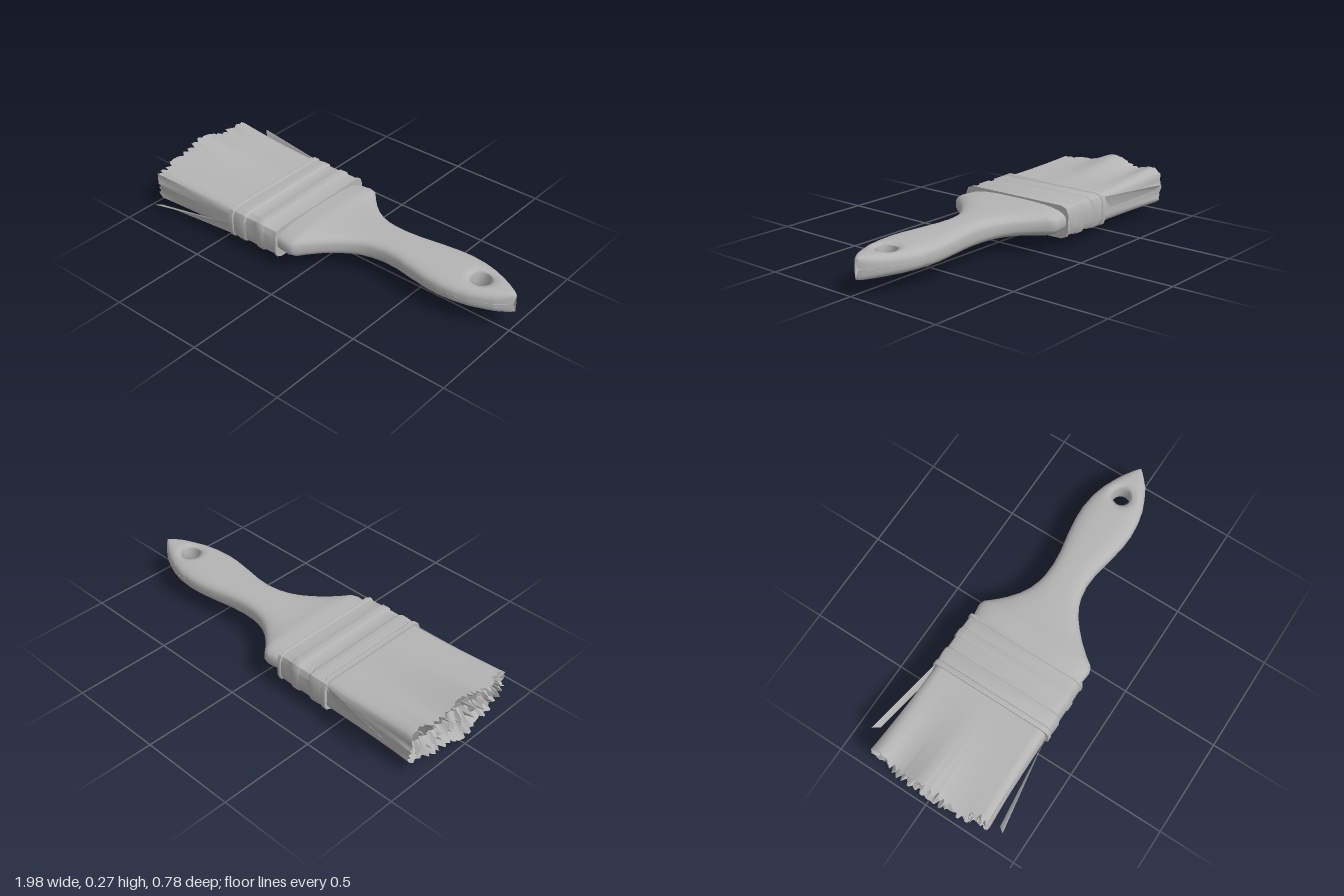
import * as THREE from 'three';
import { toCreasedNormals } from 'three/addons/utils/BufferGeometryUtils.js';

const MID = 0.13; // height of the brush's middle plane

// Handle outline: x, back z, front z, half thickness
const OUTLINE = [
  [-0.14, -0.312, 0.312, 0.068], [-0.06, -0.324, 0.32, 0.072], [-0.03, -0.315, 0.31, 0.071],
  [0, -0.28, 0.27, 0.067], [0.05, -0.23, 0.212, 0.063], [0.1, -0.19, 0.165, 0.061],
  [0.15, -0.162, 0.125, 0.06], [0.2, -0.145, 0.096, 0.06], [0.25, -0.136, 0.078, 0.06],
  [0.32, -0.134, 0.067, 0.06], [0.4, -0.142, 0.071, 0.06], [0.5, -0.162, 0.09, 0.059],
  [0.6, -0.177, 0.106, 0.059], [0.67, -0.18, 0.109, 0.059], [0.75, -0.172, 0.102, 0.058],
  [0.82, -0.153, 0.085, 0.058], [0.88, -0.127, 0.06, 0.057], [0.93, -0.1, 0.034, 0.056],
  [0.97, -0.072, 0, 0.054], [0.99, -0.054, -0.02, 0.05], [1, -0.042, -0.034, 0.046],
];

function outlineAt(x) {
  let i = 1;
  while (i < OUTLINE.length - 1 && OUTLINE[i][0] < x) i++;
  const a = OUTLINE[i - 1], b = OUTLINE[i];
  const t = THREE.MathUtils.clamp((x - a[0]) / (b[0] - a[0]), 0, 1);
  const [, back, front, h] = a.map((v, k) => v + (b[k] - v) * t);
  return { back, front, h, c: (back + front) / 2, w: (front - back) / 2 };
}

// Skin a list of closed rings of [x, y, z] points
function skin(rings) {
  const n = rings[0].length, index = [];
  for (let i = 0; i < rings.length - 1; i++) {
    for (let k = 0; k < n; k++) {
      const a = i * n + k, c = i * n + (k + 1) % n;
      index.push(a, a + n, c, c, a + n, c + n);
    }
  }
  const g = new THREE.BufferGeometry();
  g.setAttribute('position', new THREE.Float32BufferAttribute(rings.flat(2), 3));
  g.setIndex(index);
  g.computeVertexNormals();
  return g;
}

// Rounded rectangle as [z, y] points
function section(w, h, r) {
  const pts = [];
  for (let q = 0; q < 4; q++) {
    const sz = q === 0 || q === 3 ? 1 : -1, sy = q < 2 ? 1 : -1;
    for (let j = 0; j < 3; j++) {
      const a = (q + j / 2) * Math.PI / 2;
      pts.push([sz * (w - r) + r * Math.cos(a), sy * (h - r) + r * Math.sin(a)]);
    }
  }
  return pts;
}

function seeded(seed) {
  return () => (seed = (seed * 16807) % 2147483647) / 2147483647;
}

// Superellipse loft from the shoulder to just before the hole
function handleBody() {
  const xs = [...OUTLINE.map(o => o[0]).filter(x => x < 0.7), -0.1, -0.045, -0.015, 0.025, 0.715];
  const pw = (v, e) => Math.sign(v) * Math.abs(v) ** e;
  return skin(xs.sort((a, b) => a - b).map(x => {
    const o = outlineAt(x);
    return Array.from({ length: 40 }, (_, k) => {
      const a = k / 40 * Math.PI * 2;
      return [x, MID + o.h * pw(Math.sin(a), 2 / 3), o.c + o.w * pw(Math.cos(a), 2 / 3)];
    });
  }));
}

// Grip end: rings running from the outline in to the hole, over the top and back below
function handleEnd() {
  const cx = 0.81, cz = -0.037, r = 0.046, N = 96, M = 12;
  const inside = (x, z) => {
    const o = outlineAt(x);
    return x > 0.7 && x < 1 && z > o.back && z < o.front;
  };
  const reach = Array.from({ length: N }, (_, k) => {
    const a = k / N * Math.PI * 2;
    let lo = 0, hi = 0.4;
    for (let i = 0; i < 24; i++) {
      const m = (lo + hi) / 2;
      if (inside(cx + m * Math.cos(a), cz + m * Math.sin(a))) lo = m; else hi = m;
    }
    return lo;
  });
  const ring = (t, side) => reach.map((R, k) => {
    const a = k / N * Math.PI * 2, d = R + (r - R) * t * t;
    const x = cx + d * Math.cos(a), z = cz + d * Math.sin(a), o = outlineAt(x);
    const u = Math.min(1, Math.abs(z - o.c) / o.w);
    const lip = 1 - 0.25 * Math.exp(-(((d - r) / 0.02) ** 2));
    return [x, MID + side * o.h * lip * Math.cbrt(1 - u ** 3), z];
  });
  const rings = [];
  for (let i = 0; i <= M; i++) rings.push(ring(i / M, 1));
  for (let i = M; i >= 0; i--) rings.push(ring(i / M, -1));
  return skin(rings);
}

// Metal band with rolled edges and shallow grooves: x, growth
function ferrule() {
  const profile = [[-0.44, -0.03], [-0.44, 0.005], [-0.415, 0.005], [-0.41, 0], [-0.37, 0.003], [-0.34, 0.003],
    [-0.33, -0.003], [-0.27, -0.003], [-0.26, 0.002], [-0.22, 0.002], [-0.21, -0.003],
    [-0.15, -0.004], [-0.145, 0.001], [-0.13, 0.001], [-0.13, -0.03]];
  return toCreasedNormals(skin(profile.map(([x, d]) =>
    section(0.325 + d, 0.082 + d, 0.042).map(([z, y]) => [x, 0.125 + y, z]))), 0.6);
}

// Bristle block with flared faces and a ragged, hollowed tip
function bristles() {
  const rand = seeded(77), N = 132;
  const pts = section(0.315, 0.076, 0.035).map(p => new THREE.Vector2(...p));
  const loop = new THREE.Shape([...pts, pts[0].clone()]).getSpacedPoints(N).slice(0, N);
  const bump = (z, c, s) => Math.exp(-(((z - c) / s) ** 2));
  const hair = loop.map(({ x: z, y }, k) => ({
    z, y,
    length: 0.55 - (Math.abs(z) > 0.22 ? 0.025 : 0) - (k % 3 === 0 ? 0.035 : 0.018) * rand(),
    lift: y > 0.05 ? 0.052 * bump(z, -0.02, 0.1) + 0.028 * bump(z, -0.26, 0.06) + 0.005
      : y < -0.05 ? -0.047 * bump(z, 0.02, 0.07) : 0,
    spread: 1.02 + 0.04 * rand(),
  }));
  const row = t => hair.map(h => [-0.43 - h.length * t, 0.125 + h.y * (1 + 0.06 * t * t) + h.lift * t ** 1.6,
    h.z * (1 + (h.spread - 1) * t * t)]);
  const hollow = (s, x, j) => hair.map(h =>
    [x - j * rand(), 0.125 + (h.y + h.lift) * s, h.z * (0.9 + 0.1 * s)]);
  return toCreasedNormals(skin([
    hollow(0, -0.9, 0), hollow(0.35, -0.89, 0.06), hollow(0.72, -0.92, 0.03),
    row(1), row(0.93), row(0.8), row(0.6), row(0.4), row(0.2), row(0),
  ]), 0.8);
}

// Loose flat tuft: a triangle or quad fan through the given corners
function tuft(corners) {
  const g = new THREE.BufferGeometry();
  g.setAttribute('position', new THREE.Float32BufferAttribute(corners.flat(), 3));
  g.setIndex(corners.slice(2).flatMap((_, i) => [0, i + 1, i + 2]));
  g.computeVertexNormals();
  return g;
}

export function createModel() {
  const group = new THREE.Group();
  const grey = new THREE.MeshStandardMaterial({ color: 0xb4b4b4, side: THREE.DoubleSide });
  grey.name = 'plain grey';
  const add = (name, geometry) => {
    const mesh = new THREE.Mesh(geometry, grey);
    mesh.name = name;
    group.add(mesh);
  };

  add('handleBody', handleBody());
  add('handleEnd', handleEnd());
  add('ferrule', ferrule());
  add('bristles', bristles());

  // Splayed tufts on the two sides
  add('backTuft', tuft([[-0.44, 0.19, -0.315], [-0.86, 0.178, -0.39], [-0.83, 0.15, -0.362], [-0.5, 0.12, -0.315]]));
  add('frontTuft', tuft([[-0.44, 0.11, 0.315], [-0.92, 0.053, 0.388], [-0.9, 0.05, 0.36], [-0.44, 0.05, 0.31]]));

  // Short ragged clumps filling the tip
  const rand = seeded(31);
  for (let i = 0; i < 16; i++) {
    const clump = new THREE.ConeGeometry(0.03, 0.12, 5).rotateZ(Math.PI / 2);
    clump.translate(-0.89 - 0.03 * rand(), 0.125 + (i % 2 ? 0.045 : -0.045), -0.27 + 0.036 * i);
    add('tipClump', clump);
  }
  return group;
}
